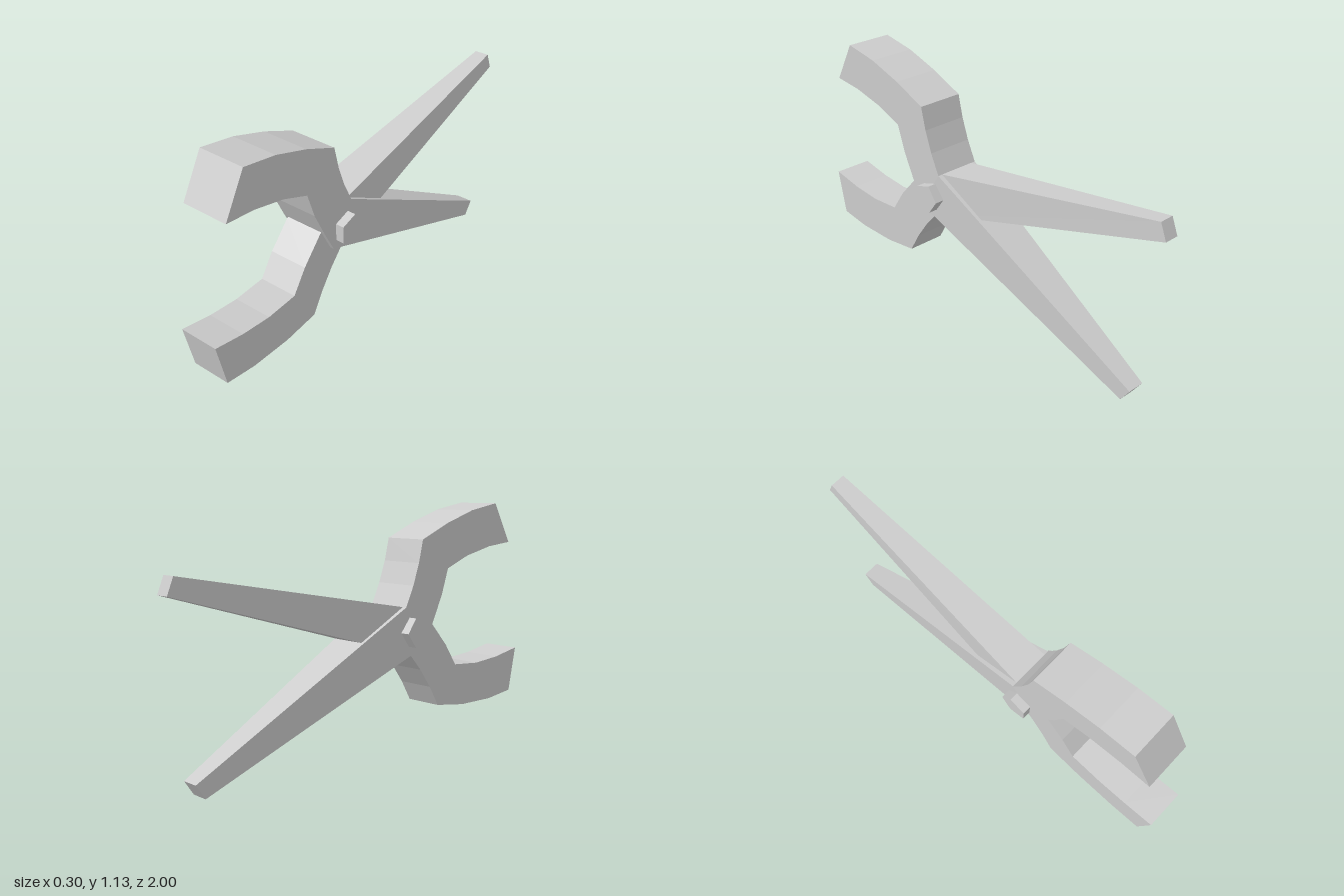
import * as THREE from 'three';

const material = new THREE.MeshStandardMaterial({ color: 0xcccccc, flatShading: true });

// Lofts rectangular sections running from jaw tip to handle end.
// Each station: [topZ, topY, bottomZ, bottomY, halfWidth]
function lever(name, stations) {
  const pos = [];
  const rings = stations.map(([tz, ty, bz, by, w]) => [
    [w, ty, tz], [-w, ty, tz], [-w, by, bz], [w, by, bz],
  ]);
  const quad = (a, b, c, d) => pos.push(...a, ...b, ...c, ...a, ...c, ...d);
  for (let i = 0; i < rings.length - 1; i++) {
    const r = rings[i], s = rings[i + 1];
    for (let k = 0; k < 4; k++) {
      const n = (k + 1) % 4;
      quad(r[k], s[k], s[n], r[n]);
    }
  }
  const end = rings[rings.length - 1];
  quad(...rings[0]);
  quad(end[3], end[2], end[1], end[0]);

  const geometry = new THREE.BufferGeometry();
  geometry.setAttribute('position', new THREE.Float32BufferAttribute(pos, 3));
  geometry.computeVertexNormals();
  const mesh = new THREE.Mesh(geometry, material);
  mesh.name = name;
  return mesh;
}

export function createModel() {
  const group = new THREE.Group();
  group.name = 'pincers';

  // Wide lever: upper jaw crossing into the lower handle
  const W = 0.11;
  group.add(lever('upperJawLever', [
    [0.80, 1.135, 0.905, 0.945, W],
    [0.63, 1.105, 0.76, 0.93, W],
    [0.46, 1.05, 0.60, 0.893, W],
    [0.295, 0.98, 0.465, 0.84, W],
    [0.27, 0.875, 0.425, 0.72, W],
    [0.235, 0.775, 0.37, 0.605, W],
    [0.19, 0.68, 0.31, 0.49, W],
    [-0.90, 0.07, -0.855, 0.005, 0.041],
  ]));

  // Narrower lever: lower jaw crossing into the upper handle
  const N = 0.092;
  group.add(lever('lowerJawLever', [
    [1.0, 0.405, 0.955, 0.193, N],
    [0.85, 0.377, 0.80, 0.172, N],
    [0.70, 0.364, 0.60, 0.172, N],
    [0.545, 0.375, 0.425, 0.195, N],
    [0.475, 0.48, 0.37, 0.29, N],
    [0.375, 0.592, 0.305, 0.38, N],
    [0.28, 0.664, 0.235, 0.459, N],
    [-0.97, 0.89, -1.0, 0.815, 0.034],
  ]));

  // Five-sided pivot pin along x, one corner pointing to the handles
  const pinGeometry = new THREE.CylinderGeometry(0.07, 0.07, 0.3, 5);
  pinGeometry.rotateY(Math.PI);
  pinGeometry.rotateZ(Math.PI / 2);
  const pin = new THREE.Mesh(pinGeometry, material);
  pin.name = 'pivotPin';
  pin.position.set(0, 0.566, 0.235);
  group.add(pin);

  return group;
}
